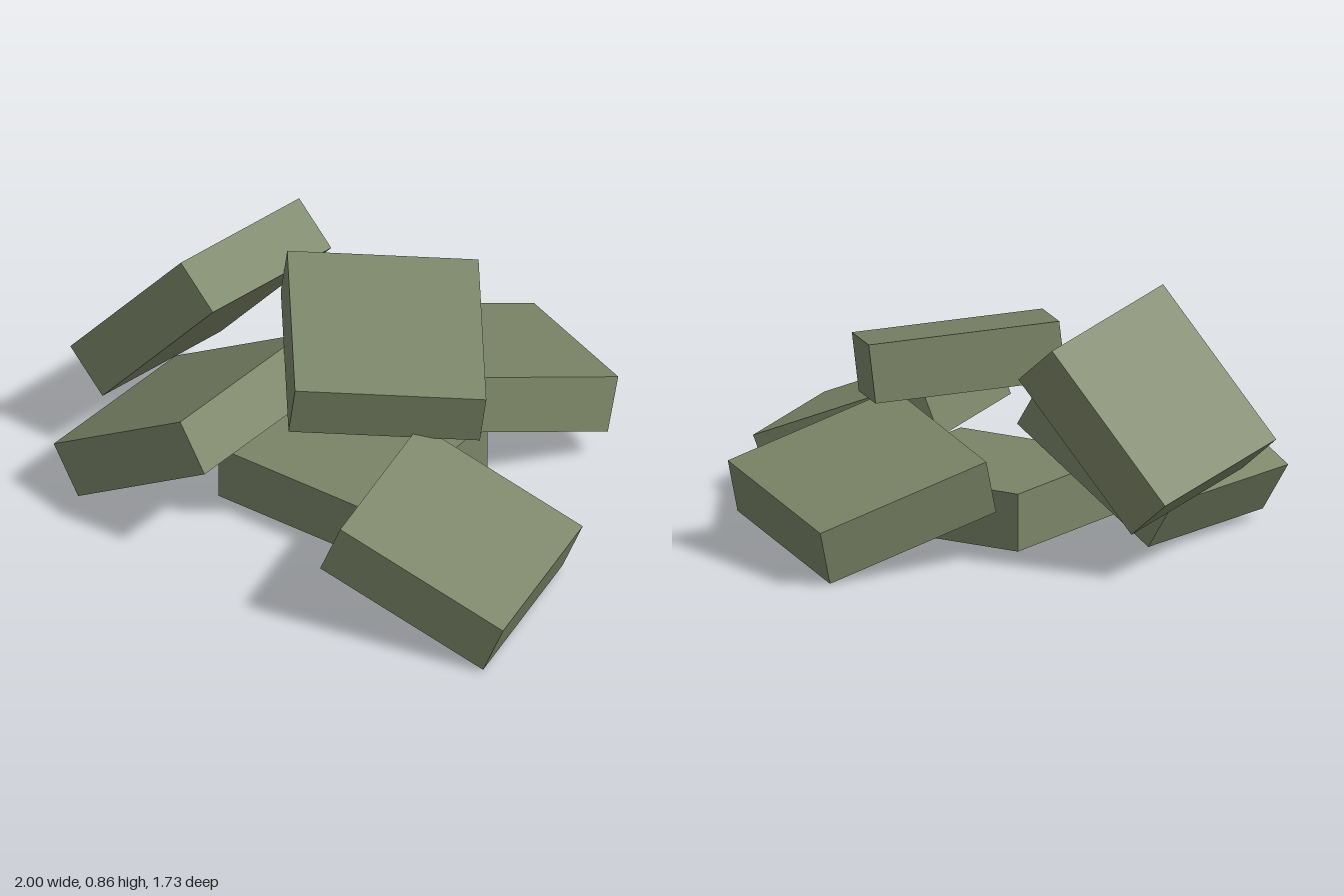
import * as THREE from 'three';

const SIDE = 0.65, THICK = 0.2;

// name, centre, direction of one long edge, direction of the other long edge
const SLABS = [
  ['baseSlab', [-0.045, 0.13, 0.145], [1, 0, 0], [0, 0, 1]],
  ['leftSlab', [0.6, 0.23, 0.475], [0.595, -0.245, -0.12], [0.125, -0.005, 0.64]],
  ['lowerRightSlab', [-0.51, 0.29, 0.44], [0.55, 0.345, 0.035], [-0.04, 0, 0.65]],
  ['upperRightSlab', [-0.7, 0.508, 0.113], [0.42, 0.495, -0.055], [-0.03, 0.1, 0.645]],
  ['topSlab', [0.035, 0.598, 0.08], [0.505, -0.065, -0.41], [0.39, -0.12, 0.505]],
  ['backSlab', [0.105, 0.242, -0.415], [0.565, 0.11, 0.3], [-0.325, 0.177, 0.535]],
];

export function createModel() {
  const group = new THREE.Group();
  group.name = 'slabPile';
  const stone = new THREE.MeshStandardMaterial({ color: 0x7a8466 });
  stone.name = 'mossGreenStone';
  const geometry = new THREE.BoxGeometry(SIDE, THICK, SIDE);

  // Each slab is the same block, turned to its own square set of axes
  for (const [name, centre, along, across] of SLABS) {
    const x = new THREE.Vector3(...along).normalize();
    const y = new THREE.Vector3(...across).cross(x).normalize();
    const z = new THREE.Vector3().crossVectors(x, y);
    const slab = new THREE.Mesh(geometry, stone);
    slab.name = name;
    slab.position.set(...centre);
    slab.quaternion.setFromRotationMatrix(new THREE.Matrix4().makeBasis(x, y, z));
    group.add(slab);
  }
  return group;
}
